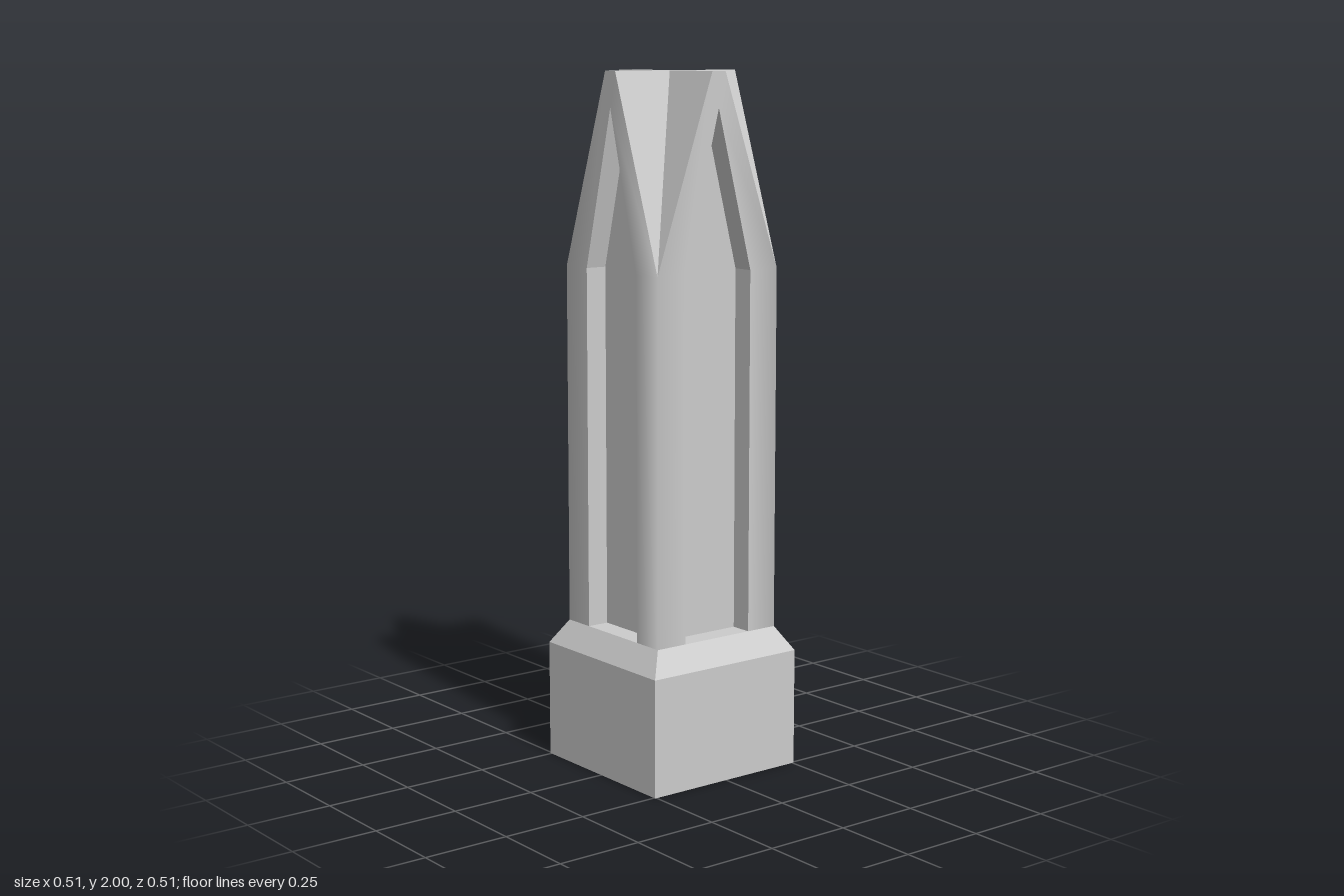
import * as THREE from 'three';

const stone = new THREE.MeshStandardMaterial({ color: 0xcccccc, side: THREE.DoubleSide });
stone.name = 'stone grey';

const B = 0.255, S = 0.212;           // half widths of plinth and shaft
const W = 0.023, P = 0.115;           // half widths of ridge and panel
const Y0 = 0.34, Y1 = 0.41, Y2 = 1.45, APEX = 1.9, TOP = 2;
const BACK = S - 0.065;               // plane of the sunken panel

// Flat-shaded surface between two rows of points
function strip(name, a, b) {
  const pos = [];
  const tri = (p, q, r) => {
    const same = (u, v) => u.every((c, i) => c === v[i]);
    if (!same(p, q) && !same(q, r) && !same(p, r)) pos.push(...p, ...q, ...r);
  };
  for (let i = 0; i < a.length - 1; i++) {
    tri(a[i], a[i + 1], b[i + 1]);
    tri(a[i], b[i + 1], b[i]);
  }
  const geo = new THREE.BufferGeometry();
  geo.setAttribute('position', new THREE.Float32BufferAttribute(pos, 3));
  geo.computeVertexNormals();
  const mesh = new THREE.Mesh(geo, stone);
  mesh.name = name;
  return mesh;
}

// Square, open-ended ring of the plinth
function squareRing(name, top, bottom, y0, y1) {
  const r = Math.SQRT2;
  const geo = new THREE.CylinderGeometry(top * r, bottom * r, y1 - y0, 4, 1, true, Math.PI / 4).toNonIndexed();
  geo.computeVertexNormals();
  geo.translate(0, (y0 + y1) / 2, 0);
  const mesh = new THREE.Mesh(geo, stone);
  mesh.name = name;
  return mesh;
}

// One of the four identical sides, facing +z
function createSide() {
  const side = new THREE.Group();
  const outer = [[S, Y1, S], [S, Y2, S], [W, TOP, S], [-W, TOP, S], [-S, Y2, S], [-S, Y1, S]];
  const opening = z => [[P, Y1, z], [P, Y2, z], [0, APEX, z], [0, APEX, z], [-P, Y2, z], [-P, Y1, z]];
  const front = opening(S), back = opening(BACK);

  // Gabled frame, with normals blended around the shaft corners
  const frame = strip('gableFrame', outer, front);
  const { position, normal } = frame.geometry.attributes;
  for (let i = 0; i < position.count; i++) {
    const x = position.getX(i);
    if (Math.abs(x) > S - 0.001) normal.setXYZ(i, Math.sign(x) * Math.SQRT1_2, 0, Math.SQRT1_2);
  }

  // Sunken pointed panel
  const reveal = strip('panelReveal', front, back);
  const panel = strip('sunkenPanel', back.slice(0, 3), [back[5], back[4], back[3]]);
  const ledge = strip('panelLedge', [front[0], back[0]], [front[5], back[5]]);

  // Roof slopes running into the valleys, and the flat ridge
  const rightSlope = strip('roofSlope', [[S, Y2, S], [W, TOP, W]], [[W, TOP, S], [W, TOP, W]]);
  const leftSlope = strip('roofSlope', [[-S, Y2, S], [-W, TOP, S]], [[-S, Y2, S], [-W, TOP, W]]);
  const ridge = strip('ridge',
    [[W, TOP, S], [W, TOP, W], [0, TOP, 0]],
    [[-W, TOP, S], [-W, TOP, W], [0, TOP, 0]]);

  side.add(frame, reveal, panel, ledge, rightSlope, leftSlope, ridge);
  return side;
}

export function createModel() {
  const model = new THREE.Group();
  model.name = 'pinnacle';
  model.add(squareRing('plinth', B, B, 0, Y0), squareRing('plinthBevel', S, B, Y0, Y1));
  ['front', 'left', 'back', 'right'].forEach((label, i) => {
    const side = createSide();
    side.name = label + 'Side';
    side.rotation.y = i * Math.PI / 2;
    model.add(side);
  });
  return model;
}
